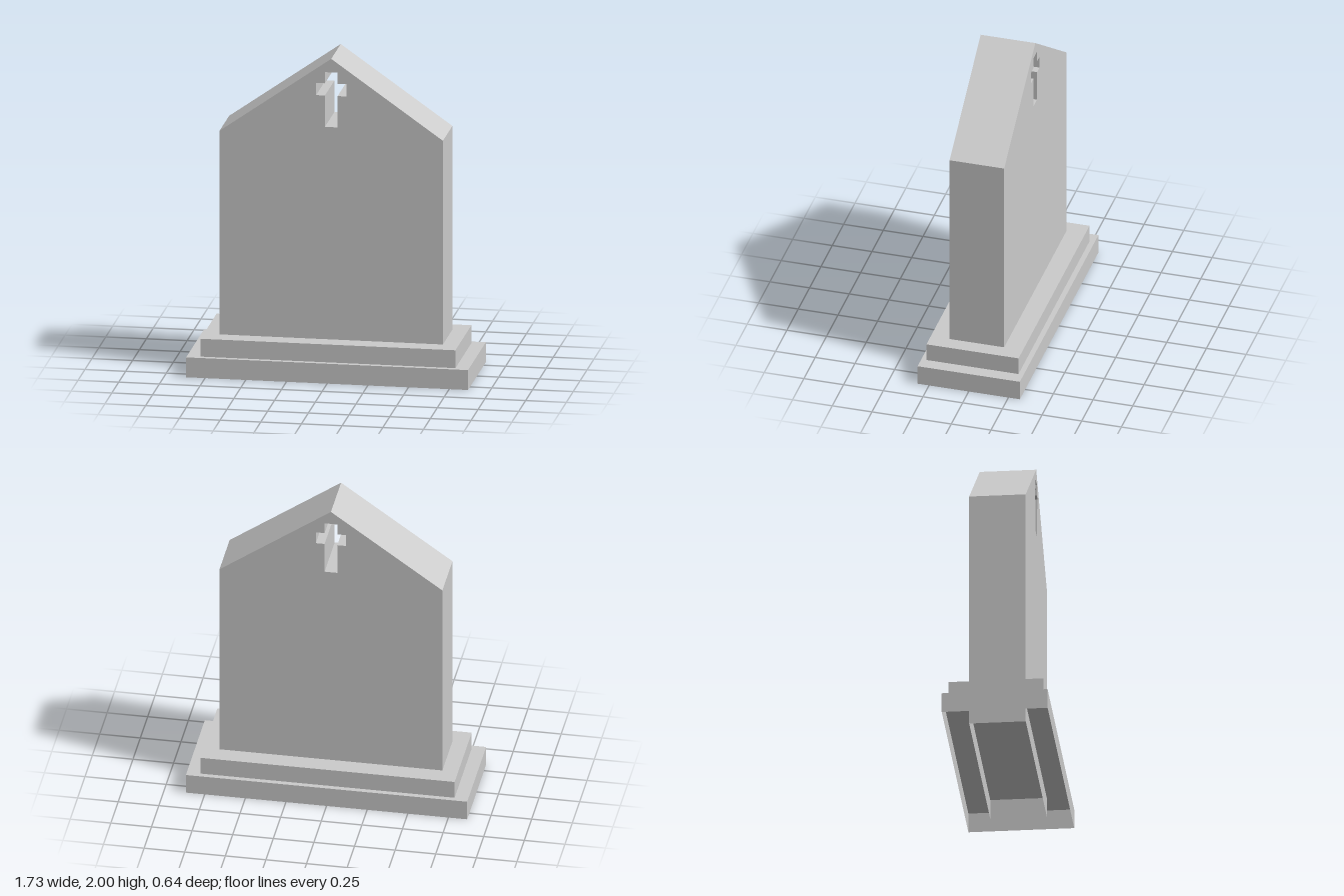
import * as THREE from 'three';

const material = new THREE.MeshStandardMaterial({ color: 0xcccccc, flatShading: true, side: THREE.DoubleSide });

// Removes the faces lying on the ground plane, leaving the part hollow underneath
function openBottom(source) {
  const geometry = source.index ? source.toNonIndexed() : source;
  const p = geometry.attributes.position;
  const kept = [];
  for (let i = 0; i < p.count; i += 3) {
    const onGround = [i, i + 1, i + 2].every((k) => Math.abs(p.getY(k)) < 1e-4);
    if (!onGround) kept.push(i, i + 1, i + 2);
  }
  geometry.setIndex(kept);
  return geometry;
}

function addPart(group, name, geometry) {
  const mesh = new THREE.Mesh(geometry, material);
  mesh.name = name;
  group.add(mesh);
}

// Box standing on height y0
function block(width, y0, y1, depth) {
  return new THREE.BoxGeometry(width, y1 - y0, depth).translate(0, (y0 + y1) / 2, 0);
}

const points = (list) => list.map(([x, y]) => new THREE.Vector2(x, y));

export function createModel() {
  const group = new THREE.Group();
  group.name = 'gravestone';

  // Two-step plinth, the lower step open underneath
  addPart(group, 'lowerStep', openBottom(block(1.732, 0, 0.125, 0.644)));
  addPart(group, 'upperStep', block(1.566, 0.125, 0.237, 0.58));

  // Gabled slab, running down through the plinth to the ground
  const half = 0.686, shoulder = 1.517, depth = 0.344;
  const slab = new THREE.Shape(points([
    [-half, 0], [half, 0], [half, shoulder], [0, 2], [-half, shoulder],
  ]));

  // Cross-shaped opening through the gable, mirrored from its right half
  const right = [[0.039, 1.571], [0.039, 1.768], [0.093, 1.768], [0.093, 1.845], [0.039, 1.845], [0.039, 1.915]];
  const left = right.map(([x, y]) => [-x, y]).reverse();
  slab.holes.push(new THREE.Path(points([...right, ...left])));

  const slabGeometry = new THREE.ExtrudeGeometry(slab, { depth, bevelEnabled: false });
  slabGeometry.translate(0, 0, -depth / 2);
  addPart(group, 'slab', openBottom(slabGeometry));

  return group;
}
